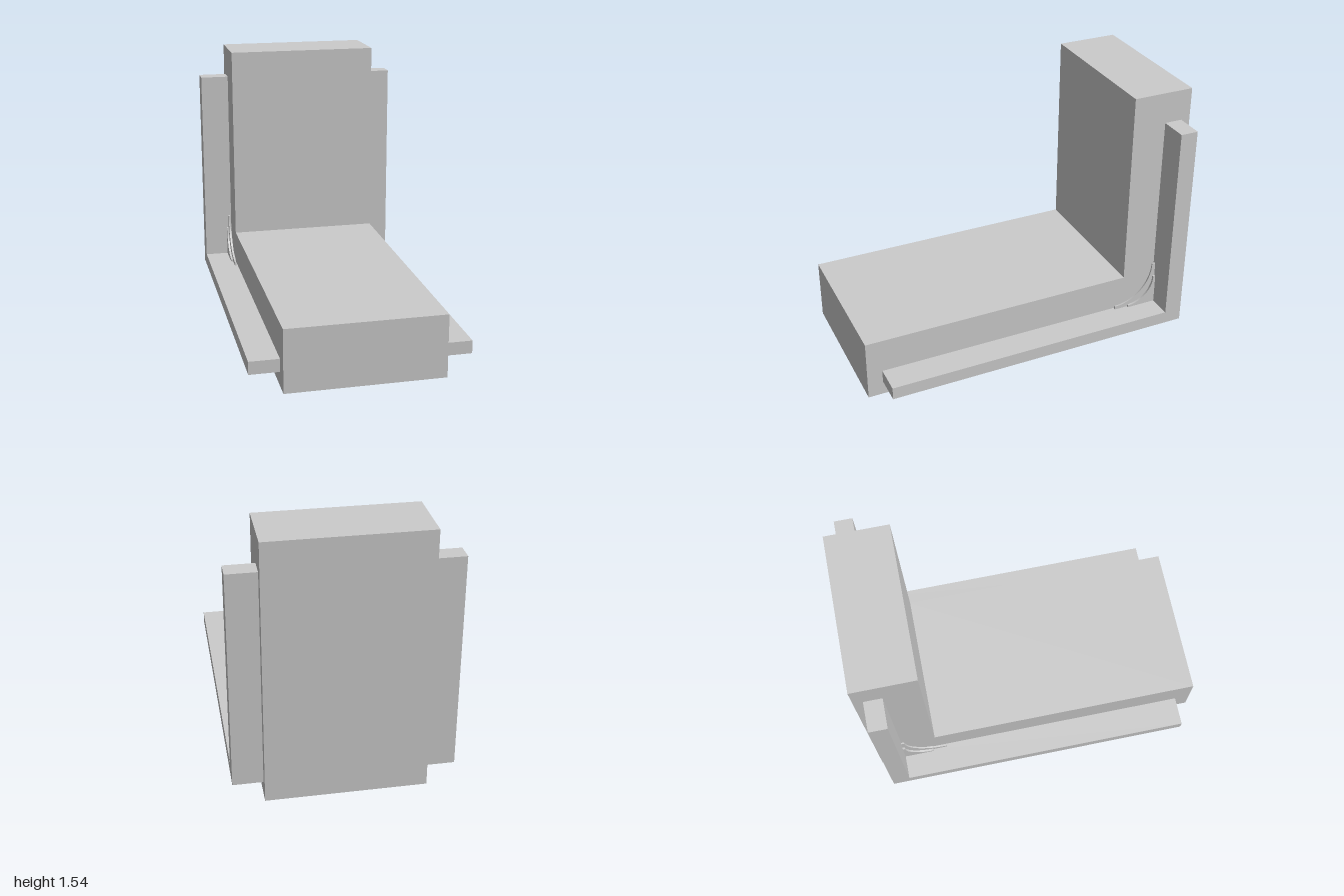
import * as THREE from 'three';

const material = new THREE.MeshStandardMaterial({ color: 0xcccccc, flatShading: true });

// Extrudes a side profile drawn in (z, y) between two x positions
function sideExtrude(name, shape, x0, x1) {
  const geometry = new THREE.ExtrudeGeometry(shape, {
    depth: x1 - x0, bevelEnabled: false, curveSegments: 14,
  });
  // shape x becomes z, extrusion runs along -x
  geometry.rotateY(-Math.PI / 2);
  geometry.translate(x1, 0, 0);
  const mesh = new THREE.Mesh(geometry, material);
  mesh.name = name;
  return mesh;
}

// L-shaped profile: horizontal leg plus upright at the rear
function ellShape(back, front, bottom, top, inner, height) {
  return new THREE.Shape([
    [back, bottom], [front, bottom], [front, top],
    [inner, top], [inner, height], [back, height],
  ].map(([z, y]) => new THREE.Vector2(z, y)));
}

// Concave quarter-round gusset sitting in the inner corner of a rail
function gussetShape(size) {
  const z = -0.84, y = 0.16, lip = 0.02 * size / 0.265;
  const shape = new THREE.Shape();
  shape.moveTo(z, y);
  shape.lineTo(z + size, y);
  shape.lineTo(z + size, y + lip);
  shape.absarc(z + size, y + size, size - lip, -Math.PI / 2, -Math.PI, true);
  shape.lineTo(z, y + size);
  shape.closePath();
  return shape;
}

export function createModel() {
  const model = new THREE.Group();
  model.name = 'chairBlock';

  // Seat and backrest in one solid
  model.add(sideExtrude('seatAndBackrest', ellShape(-1, 1, 0, 0.365, -0.635, 1.54), -0.45, 0.45));

  for (const side of [1, -1]) {
    const group = new THREE.Group();
    group.name = side > 0 ? 'leftRail' : 'rightRail';
    const part = (name, shape, a, b) =>
      group.add(sideExtrude(name, shape, Math.min(side * a, side * b), Math.max(side * a, side * b)));

    // L-shaped side rail
    part('rail', ellShape(-0.945, 0.91, 0.085, 0.16, -0.84, 1.355), 0.45, 0.62);
    // Ribbed corner gusset with a taller thin centre rib
    part('gussetWeb', gussetShape(0.18), 0.45, 0.48);
    part('gussetRib', gussetShape(0.265), 0.459, 0.468);
    model.add(group);
  }
  return model;
}
